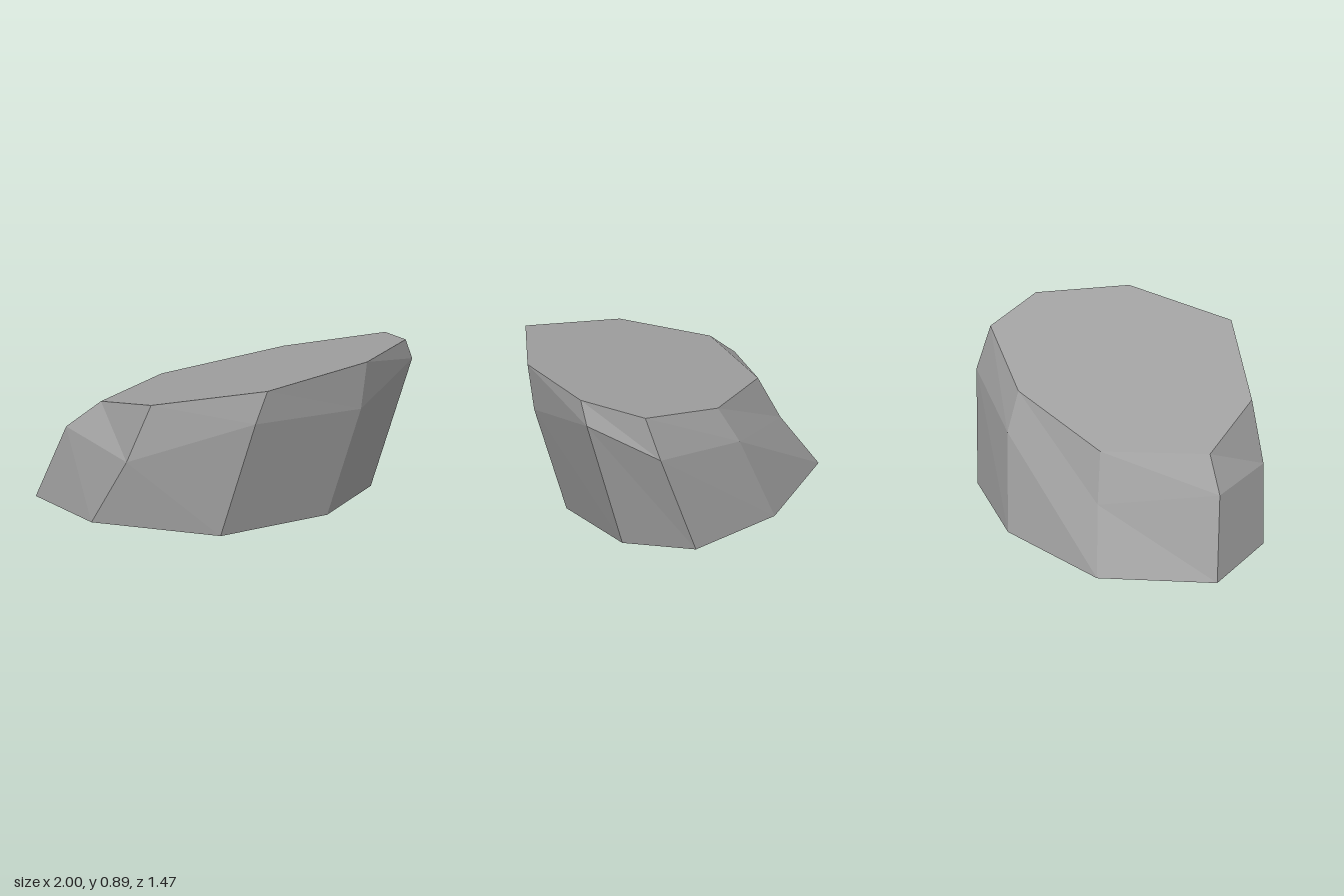
import * as THREE from 'three';

// Cross-sections of the boulder, each running left -> front -> right -> back
const base = [
  [-1, 0, -0.16], [-0.75, 0, 0.31], [-0.09, 0, 0.61], [0.51, 0, 0.31],
  [0.79, 0, -0.15], [0.7, 0, -0.54], [0.13, 0, -0.735], [-0.59, 0, -0.655],
];
const shoulder = [
  [-0.85, 0.425, -0.04], [-0.575, 0.37, 0.43], [0.085, 0.66, 0.73], [0.68, 0.625, 0.42],
  [1, 0.745, -0.04], [0.885, 0.57, -0.42], [0.31, 0.485, -0.615], [-0.4, 0.32, -0.52],
];
const rim = [
  [-0.67, 0.58, 0.02], [-0.445, 0.69, 0.445], [0.15, 0.84, 0.72], [0.71, 0.895, 0.445],
  [0.96, 0.87, 0.015], [0.885, 0.8, -0.33], [0.36, 0.68, -0.51], [-0.3, 0.572, -0.435],
];

function facetMesh(name, triangles, material) {
  const geometry = new THREE.BufferGeometry();
  geometry.setAttribute('position', new THREE.Float32BufferAttribute(triangles.flat(2), 3));
  geometry.computeVertexNormals();
  const mesh = new THREE.Mesh(geometry, material);
  mesh.name = name;
  return mesh;
}

// Band of facets between two rings
function band(lower, upper) {
  return lower.flatMap((a, i) => {
    const j = (i + 1) % lower.length;
    return [[a, lower[j], upper[i]], [lower[j], upper[j], upper[i]]];
  });
}

// Flat polygon as a triangle fan
function cap(ring) {
  return ring.slice(2).map((p, i) => [ring[0], ring[i + 1], p]);
}

export function createModel() {
  const stone = new THREE.MeshStandardMaterial({ color: 0xa0a0a0 });
  stone.name = 'grey stone';
  stone.flatShading = true;

  const boulder = new THREE.Group();
  boulder.name = 'boulder';
  boulder.add(
    facetMesh('sides', band(base, shoulder), stone),
    facetMesh('bevel', band(shoulder, rim), stone),
    facetMesh('slopedTop', cap(rim), stone),
    facetMesh('underside', cap([...base].reverse()), stone),
  );
  return boulder;
}
